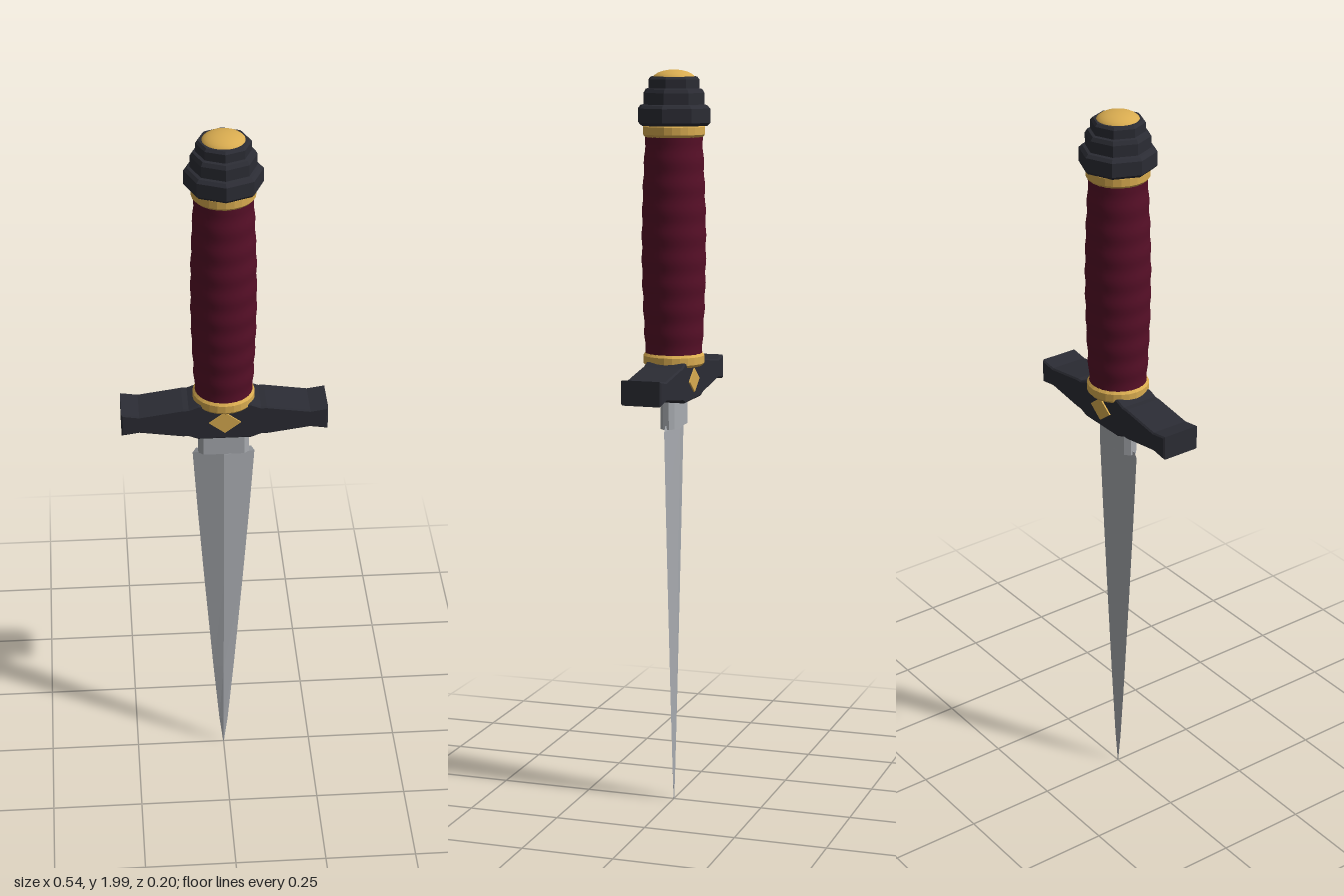
import * as THREE from 'three';

const paint = (name, color) => {
  const m = new THREE.MeshStandardMaterial({ color });
  m.name = name;
  return m;
};

// Split vertices so that every face is shaded flat
function flat(geometry) {
  const g = geometry.index ? geometry.toNonIndexed() : geometry;
  g.computeVertexNormals();
  return g;
}

// Turned part from [radius, y] pairs, listed from bottom to top
const turned = (points, sides) =>
  new THREE.LatheGeometry(points.map(([r, y]) => new THREE.Vector2(r, y)), sides);

// Closed solid through rings of [x, z] corners at rising heights
function loft(rings) {
  const n = rings[0].corners.length;
  const pos = [], idx = [];
  for (const { y, corners } of rings) for (const [x, z] of corners) pos.push(x, y, z);
  for (let i = 0; i < rings.length - 1; i++) {
    for (let j = 0; j < n; j++) {
      const a = i * n + j, b = i * n + (j + 1) % n;
      idx.push(a, b, b + n, a, b + n, a + n);
    }
  }
  const top = (rings.length - 1) * n;
  for (let k = 1; k < n - 1; k++) {
    idx.push(0, k + 1, k, top, top + k, top + k + 1);
  }
  const g = new THREE.BufferGeometry();
  g.setAttribute('position', new THREE.Float32BufferAttribute(pos, 3));
  g.setIndex(idx);
  return flat(g);
}

export function createModel() {
  const group = new THREE.Group();
  const steel = paint('steel', 0xa9acb1);
  const black = paint('blackened iron', 0x2b2c34);
  const gold = paint('gold', 0xd9ac50);
  const leather = paint('dark red leather', 0x560f27);

  const add = (name, geometry, material) => {
    const mesh = new THREE.Mesh(geometry, material);
    mesh.name = name;
    group.add(mesh);
    return mesh;
  };

  // Blade: diamond section tapering to the point, [y, half width, half thickness]
  const blade = [
    [0.01, 0.001, 0.001], [0.1, 0.012, 0.004], [0.3, 0.029, 0.007],
    [0.6, 0.052, 0.011], [0.85, 0.07, 0.015], [1.05, 0.083, 0.018], [1.065, 0.074, 0.018],
  ];
  add('blade', loft(blade.map(([y, w, t]) => ({
    y, corners: [[0, t], [w, 0], [0, -t], [-w, 0]],
  }))), steel);

  // Ricasso: short block with chamfered edges between blade and guard
  const block = [[0.055, 0.02], [0.068, 0.008], [0.068, -0.008], [0.055, -0.02],
    [-0.055, -0.02], [-0.068, -0.008], [-0.068, 0.008], [-0.055, 0.02]];
  add('ricasso', loft([1.055, 1.15].map((y) => ({ y, corners: block }))), steel);

  // Cross guard: waisted arms with flared ends, mirrored about both axes
  const quarter = [[0.272, 0.033], [0.225, 0.026], [0.11, 0.043], [0.095, 0.043], [0.07, 0.053]];
  const upper = [...quarter, ...quarter.map(([x, y]) => [-x, y]).reverse()];
  const outline = [...upper, ...upper.map(([x, y]) => [x, -y]).reverse()];
  const guard = new THREE.ExtrudeGeometry(
    new THREE.Shape(outline.map(([x, y]) => new THREE.Vector2(x, y))),
    { depth: 0.102, bevelThickness: 0.004, bevelSize: 0.004, bevelOffset: -0.004, bevelSegments: 1 },
  );
  guard.translate(0, 1.182, -0.051);
  add('crossGuard', flat(guard), black);

  // Gold lozenge on both faces of the guard
  for (const side of [1, -1]) {
    const lozenge = new THREE.CylinderGeometry(1, 1, 0.006, 4);
    lozenge.rotateX(Math.PI / 2);
    lozenge.scale(0.042, 0.032, 1);
    add(side > 0 ? 'frontLozenge' : 'backLozenge', flat(lozenge), gold)
      .position.set(0, 1.182, side * 0.056);
  }

  // Grip: gentle swell with faint wrapped ridges
  const grip = [];
  const steps = 56;
  for (let i = 0; i <= steps; i++) {
    const t = i / steps;
    const ridge = 0.0012 * Math.cos(t * Math.PI * 2 * 9);
    grip.push([0.075 + 0.01 * Math.sin(t * Math.PI) + ridge, 1.24 + 0.59 * t]);
  }
  add('grip', turned(grip, 32), leather);

  // Gold collars at both ends of the grip
  const collar = [[0.06, -0.017], [0.076, -0.017], [0.082, -0.01], [0.082, 0.01], [0.076, 0.017], [0.06, 0.017]];
  for (const [name, y] of [['lowerCollar', 1.238], ['upperCollar', 1.842]]) {
    add(name, flat(turned(collar, 24)), gold).position.y = y;
  }

  // Pommel: stepped octagon
  add('pommel', flat(turned([
    [0, 1.855], [0.092, 1.855], [0.1, 1.863], [0.1, 1.9], [0.092, 1.908],
    [0.084, 1.91], [0.084, 1.94], [0.078, 1.95], [0.07, 1.952], [0.07, 1.975], [0.064, 1.982], [0, 1.982],
  ], 8)), black);

  // Gold domed cap
  const cap = new THREE.SphereGeometry(1, 28, 8, 0, Math.PI * 2, 0, Math.PI / 2);
  cap.scale(0.057, 0.025, 0.057);
  add('pommelCap', cap, gold).position.y = 1.975;

  return group;
}
